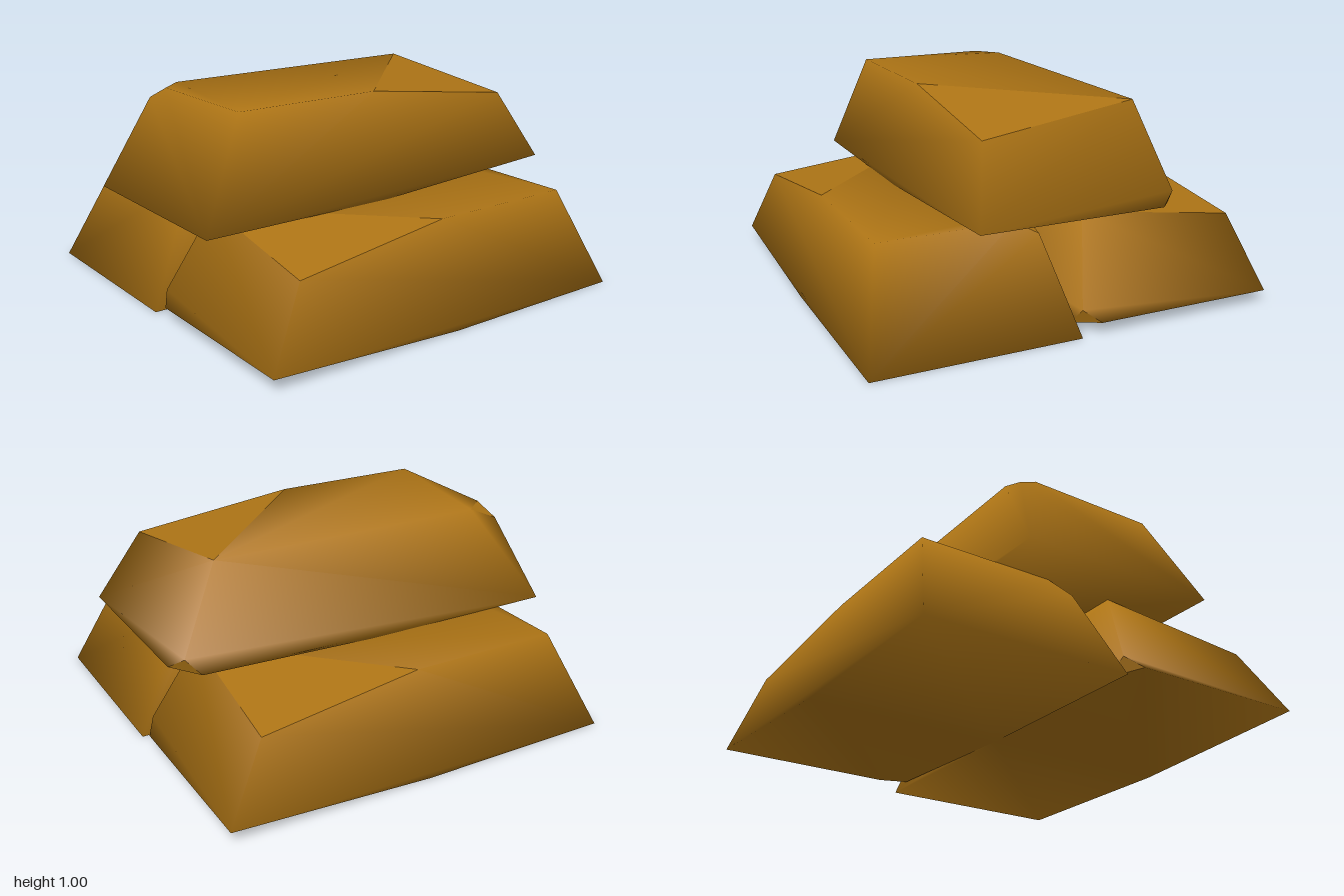
import * as THREE from 'three';

// Corners of one worn ingot: tapered block with one raised end and chipped corners
const P = {
  A: [-1, 0, 0.5], B: [-1, 0, -0.5], M: [0, 0, 0.5], N: [0, 0, -0.5],
  C: [1, 0.056, 0.5], D: [1, 0.056, -0.4], d: [0.88, 0.03, -0.5], T: [0.95, 0.11, -0.475],
  E: [-0.75, 0.5, 0.375], G: [0, 0.5, 0.375], K: [0.8, 0.4, 0.4], H: [0.75, 0.5, -0.375],
  S: [-0.75, 0.5, -0.28], Q: [-0.64, 0.5, -0.375], R: [-0.78, 0.44, -0.39],
};
// Softly shaded faces: front, two ends, back, top, and the three underside panels
const BODY = ['AMCKGE', 'CDTHK', 'AESRB', 'BRQHTdN', 'EGHQS', 'ABNM', 'MNd', 'MdDC'];
// Flat chips broken off the corners
const CHIPS = ['GKH', 'DdT', 'SQR'];

// Fan each face into triangles, turned outward, sharing corners within a group
function facesToGeometry(faces, mirror) {
  const names = Object.keys(P).filter((n) => faces.some((f) => f.includes(n)));
  const points = names.map((n) => new THREE.Vector3(P[n][0], P[n][1], P[n][2] * mirror));
  const centre = new THREE.Vector3(0, 0.25, 0);
  const index = [];
  for (const face of faces) {
    const ids = [...face].map((n) => names.indexOf(n));
    for (let i = 1; i < ids.length - 1; i++) {
      const [a, b, c] = [ids[0], ids[i], ids[i + 1]];
      const tri = new THREE.Triangle(points[a], points[b], points[c]);
      const normal = tri.getNormal(new THREE.Vector3());
      const out = tri.getMidpoint(new THREE.Vector3()).sub(centre);
      index.push(...(normal.dot(out) > 0 ? [a, b, c] : [a, c, b]));
    }
  }
  const geometry = new THREE.BufferGeometry().setFromPoints(points);
  geometry.setIndex(index);
  geometry.computeVertexNormals();
  return geometry;
}

export function createModel() {
  const model = new THREE.Group();
  model.name = 'ingotStack';
  const gold = new THREE.MeshStandardMaterial({ color: 0xad7415 });
  gold.name = 'gold';

  function addIngot(name, y, z, mirror, turn) {
    const ingot = new THREE.Group();
    ingot.name = name;
    const body = new THREE.Mesh(facesToGeometry(BODY, mirror), gold);
    body.name = 'ingotBody';
    ingot.add(body);
    CHIPS.forEach((chip, i) => {
      const mesh = new THREE.Mesh(facesToGeometry([chip], mirror), gold);
      mesh.name = `cornerChip${i + 1}`;
      ingot.add(mesh);
    });
    ingot.position.set(0, y, z);
    ingot.rotation.y = turn;
    model.add(ingot);
  }

  // Two ingots side by side, a third resting on top
  addIngot('frontIngot', 0, 0.5, -1, Math.PI);
  addIngot('backIngot', 0, -0.5, -1, 0);
  addIngot('topIngot', 0.5, 0, 1, 0);
  return model;
}
